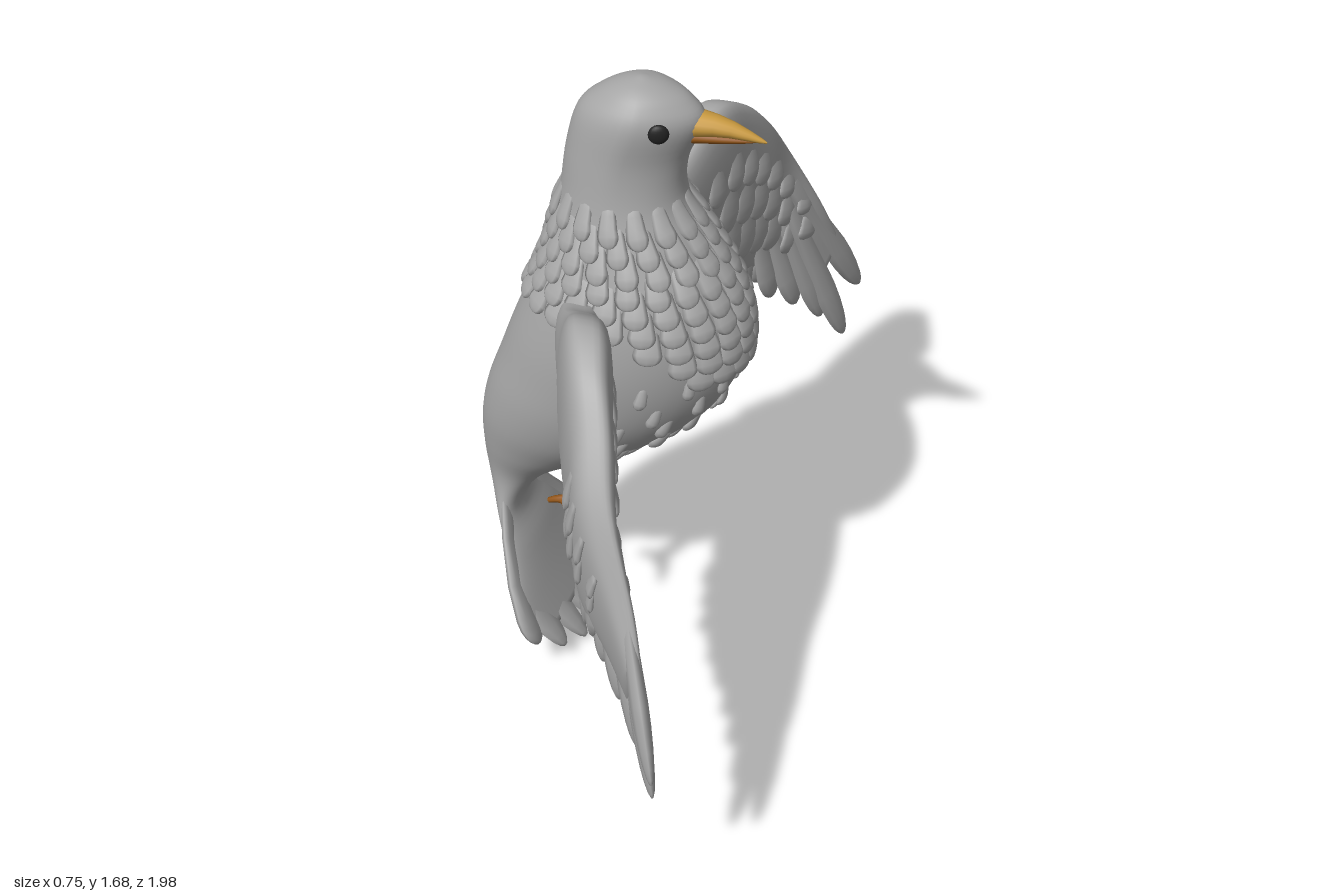
import * as THREE from 'three';
import { mergeGeometries } from 'three/addons/utils/BufferGeometryUtils.js';

const V = (x, y, z) => new THREE.Vector3(x, y, z);
const TAU = Math.PI * 2;

// Smooth interpolation between table rows; u runs from 0 to rows.length - 1
function rowAt(rows, u) {
  const last = rows.length - 1;
  const i = Math.max(0, Math.min(last - 1, Math.floor(u)));
  const t = u - i;
  const [a, b, c, d] = [rows[Math.max(0, i - 1)], rows[i], rows[i + 1], rows[Math.min(last, i + 2)]];
  return b.map((p, k) => p + 0.5 * t * (c[k] - a[k]
    + t * (2 * a[k] - 5 * p + 4 * c[k] - d[k] + t * (3 * (p - c[k]) + d[k] - a[k]))));
}

// Closed skin over rings of points, with both ends capped
function loft(rings) {
  const n = rings[0].length;
  const cap = ring => {
    const c = ring.reduce((s, p) => s.add(p), V(0, 0, 0)).divideScalar(n);
    return ring.map(() => c);
  };
  const all = [cap(rings[0]), ...rings, cap(rings[rings.length - 1])];
  const index = [];
  for (let i = 0; i < all.length - 1; i++) for (let j = 0; j < n; j++) {
    const a = i * n + j, b = i * n + (j + 1) % n;
    index.push(a, b, a + n, b, b + n, a + n);
  }
  const geo = new THREE.BufferGeometry().setFromPoints(all.flat());
  geo.setIndex(index);
  geo.computeVertexNormals();
  return geo;
}

// Elliptical section swept along a curve; normal gives the thin direction
function sweep(points, width, thick, normal, stops, sides = 8) {
  const curve = new THREE.CatmullRomCurve3(points);
  return loft(stops.map(t => {
    const c = curve.getPoint(t), T = curve.getTangent(t);
    const W = normal.clone().cross(T).normalize(), N = T.clone().cross(W);
    return Array.from({ length: sides }, (_, j) => {
      const a = j / sides * TAU;
      return c.clone().addScaledVector(W, width(t) * Math.cos(a)).addScaledVector(N, thick(t) * Math.sin(a));
    });
  }));
}

const FEATHER_STOPS = [0, 0.2, 0.45, 0.65, 0.75, 0.85, 0.92, 0.97, 0.995];
const blade = t => t < 0.65 ? 0.6 + 0.4 * t / 0.65 : Math.sqrt(Math.max(0, 1 - ((t - 0.65) / 0.35) ** 2));
const feather = (points, w, th, normal) =>
  sweep(points, t => w * blade(t), t => th * blade(t), normal, FEATHER_STOPS);

const limb = (points, r0, r1) => {
  const r = t => r0 + (r1 - r0) * t;
  return sweep(points, r, r, V(0.3, 0.2, 0.93), [0, 0.25, 0.5, 0.75, 1]);
};

// Copy a part to the other side, keeping faces outward
function mirrored(geo) {
  const g = geo.clone().scale(1, 1, -1);
  const ix = g.index.array;
  for (let i = 0; i < ix.length; i += 3) [ix[i], ix[i + 1]] = [ix[i + 1], ix[i]];
  g.computeVertexNormals();
  return g;
}

// Body slices: height, back x, front x, half width, taper towards the face
const BODY = [
  [0.1, -0.19, -0.14, 0.2, 0], [0.2, -0.25, -0.19, 0.215, 0], [0.3, -0.3, -0.235, 0.155, 0],
  [0.4, -0.343, -0.275, 0.1, 0], [0.5, -0.37, -0.215, 0.085, 0], [0.6, -0.38, -0.07, 0.125, 0],
  [0.7, -0.377, 0.09, 0.17, 0], [0.8, -0.355, 0.2, 0.2, 0], [0.9, -0.32, 0.265, 0.215, 0],
  [1.0, -0.285, 0.29, 0.22, 0], [1.1, -0.245, 0.285, 0.212, 0], [1.2, -0.205, 0.25, 0.19, 0],
  [1.3, -0.18, 0.195, 0.158, 0], [1.4, -0.16, 0.14, 0.13, 0.05], [1.5, -0.147, 0.14, 0.115, 0.2],
  [1.6, -0.12, 0.178, 0.108, 0.28], [1.65, -0.07, 0.145, 0.083, 0.25], [1.677, -0.02, 0.09, 0.05, 0.1],
  [1.69, 0.025, 0.04, 0.008, 0],
];

function bodyPoint(u, a) {
  const [y, back, front, w, taper] = rowAt(BODY, u);
  const c = Math.cos(a);
  return V((back + front) / 2 + (front - back) / 2 * c, y, -w * Math.sin(a) * (1 - taper * Math.max(0, c)));
}

// Small feather lying on the body with a lifted tip
function bodyScale(y, a, w, len, lift) {
  const u = (y - 0.1) * 10;
  const [, back, front, hw] = rowAt(BODY, u);
  const n = V(Math.cos(a) * 2 / (front - back), 0, -Math.sin(a) / hw).normalize();
  const at = (k, out) => bodyPoint(u - k * len * 10, a).addScaledVector(n, out);
  return feather([at(-0.5, -0.008), at(0.1, lift * 0.5), at(0.55, lift)], w, 0.009, n);
}

function makeRuff() {
  const parts = [];
  for (let r = 0; r < 9; r++) {
    const y = 1.37 - r * 0.044, n = Math.round(16 + r * 1.2);
    const limit = y > 1.13 ? 4 : (y - 0.9) * 6.5;
    for (let i = 0; i < n; i++) {
      const a = ((i + (r % 2) / 2) / n - 0.5) * TAU;
      if (Math.abs(a) < limit) parts.push(bodyScale(y, a, 0.026 + r * 0.0015, 0.085, 0.01 + r * 0.0014));
    }
  }
  return mergeGeometries(parts);
}

function makeBellyTufts() {
  const parts = [];
  for (let r = 0; r < 5; r++) for (let i = -3; i <= 3; i++)
    parts.push(bodyScale(0.97 - r * 0.07 - 0.02 * Math.abs(i % 2), (i + (r % 2) / 2) * 0.4, 0.016, 0.06, 0.009));
  return mergeGeometries(parts);
}

function makeTail() {
  const parts = [];
  [[0, 0.008], [0.09, 0.025], [0.17, 0.055], [0.235, 0.105]].forEach(([z, y]) => {
    for (const s of z ? [1, -1] : [1]) parts.push(feather(
      [V(-0.31, 0.42, s * z * 0.25), V(-0.268, 0.28, s * z * 0.62), V(-0.207, 0.16, s * z * 0.9), V(-0.062 - y, y, s * z)],
      0.056, 0.02, V(1, 0, 0)));
  });
  return mergeGeometries(parts);
}

// Wing stations: leading z, y, x, then trailing z, y, x, then half thickness
const WING = [
  [0.1, 1.16, -0.07, 0.1, 0.82, -0.08, 0.06], [0.22, 1.19, -0.05, 0.22, 0.78, -0.05, 0.06],
  [0.32, 1.255, 0, 0.34, 0.72, -0.01, 0.06], [0.46, 1.345, 0.05, 0.46, 0.72, 0.03, 0.065],
  [0.57, 1.31, 0.09, 0.56, 0.73, 0.07, 0.06], [0.66, 1.22, 0.13, 0.64, 0.73, 0.1, 0.055],
  [0.755, 1.08, 0.17, 0.71, 0.72, 0.14, 0.05], [0.835, 0.89, 0.25, 0.78, 0.68, 0.21, 0.035],
  [0.89, 0.75, 0.3, 0.84, 0.62, 0.27, 0.02],
];

// f runs from the leading (0) to the trailing edge (1); side picks front (1) or back (-1) skin
function wingPoint(u, f, side = 0) {
  const [lz, ly, lx, tz, ty, tx, th] = rowAt(WING, u);
  const v = Math.min(1, f) ** (1 / 1.8);
  const out = th * 2 * Math.sqrt(v * (1 - v)) * side;
  return V(lx + (tx - lx) * f + out, ly + (ty - ly) * f, lz + (tz - lz) * f);
}

function makeWing() {
  const rings = [];
  for (let i = 0; i <= 40; i++) rings.push(Array.from({ length: 28 }, (_, j) => {
    const a = j / 28 * TAU;
    return wingPoint(i / 5, ((1 - Math.sin(a)) / 2) ** 1.8, Math.sign(Math.round(Math.cos(a) * 1e6)));
  }));
  return loft(rings);
}

function makeFlightFeathers() {
  const N = V(1, 0, -0.4), parts = [];
  // trailing row
  for (let i = 0; i < 9; i++) {
    const u = 1.05 + i * 0.62;
    parts.push(feather([wingPoint(u, 0.5), wingPoint(u, 0.85), wingPoint(u + 0.05, 1.12 + 0.03 * (i % 2))], 0.046, 0.017, N));
  }
  // long outer row: root, then tip
  [[0.75, 0.98, 0.21, 0.985, 0.535, 0.365], [0.75, 0.9, 0.21, 0.91, 0.41, 0.345], [0.74, 0.88, 0.19, 0.85, 0.5, 0.29],
    [0.71, 0.86, 0.16, 0.79, 0.57, 0.23], [0.67, 0.86, 0.14, 0.735, 0.62, 0.175]].forEach(([z, y, x, tz, ty, tx]) => {
    const a = V(x, y, z), b = V(tx, ty, tz);
    parts.push(feather([a, a.clone().lerp(b, 0.5), b], 0.04, 0.02, N));
  });
  return mergeGeometries(parts);
}

function makeCoverts() {
  const N = V(1, 0, -0.4), parts = [];
  // overlapping rows on the front skin: count, start, end, half width
  [[8, 0.5, 0.82, 0.045], [8, 0.32, 0.6, 0.042], [9, 0.18, 0.4, 0.036]].forEach(([n, f0, f1, w], r) => {
    for (let i = 0; i < n; i++) {
      const u = 1.5 + (i + (r % 2) / 2) * 5.6 / n;
      const at = (f, out) => wingPoint(u, f, 0.95).addScaledVector(N, out);
      parts.push(feather([at(f0, -0.008), at((f0 + f1) / 2, 0.002), at(f1, 0.008)], w, 0.009, N));
    }
  });
  // small tufts at the wrist on the back skin
  for (let i = 0; i < 8; i++) {
    const u = 5.4 + (i % 4) * 0.4, f = 0.12 + 0.2 * Math.floor(i / 4);
    parts.push(feather([wingPoint(u, f, -0.9), wingPoint(u, f + 0.12, -1), wingPoint(u, f + 0.25, -1.15)], 0.026, 0.009, N));
  }
  return mergeGeometries(parts);
}

function makeLeg() {
  const foot = V(-0.125, 0.485, 0.105);
  const toe = (x, y, z) => limb([foot, V((x + foot.x) / 2 + 0.008, (y + foot.y) / 2 + 0.012, (z + foot.z) / 2), V(x, y, z)], 0.017, 0.007);
  return mergeGeometries([
    limb([V(-0.11, 0.64, 0.095), V(-0.105, 0.56, 0.095), foot], 0.024, 0.019),
    toe(-0.075, 0.415, 0.115), toe(-0.08, 0.44, 0.165), toe(-0.085, 0.43, 0.05), toe(-0.18, 0.48, 0.1),
  ]);
}

export function createModel() {
  const bird = new THREE.Group();
  bird.name = 'bird';
  const mat = (name, color) => Object.assign(new THREE.MeshStandardMaterial({ color }), { name });
  const plumage = mat('plumage grey', 0xa5a5a5), gold = mat('beak gold', 0xc99a40);
  const brown = mat('leg brown', 0x935618), black = mat('eye black', 0x222222);
  const add = (name, geo, material) => {
    const mesh = new THREE.Mesh(geo, material);
    mesh.name = name;
    bird.add(mesh);
  };
  const addPair = (name, geo, material) => {
    add('left' + name, mirrored(geo), material);
    add('right' + name, geo, material);
  };

  const rings = [];
  for (let i = 0; i <= 90; i++)
    rings.push(Array.from({ length: 44 }, (_, j) => bodyPoint(i / 5, j / 44 * TAU)));
  add('body', loft(rings), plumage);
  add('neckFeathers', makeRuff(), plumage);
  add('bellyFeathers', makeBellyTufts(), plumage);
  add('tailFeathers', makeTail(), plumage);

  addPair('Wing', makeWing(), plumage);
  addPair('FlightFeathers', makeFlightFeathers(), plumage);
  addPair('WingCoverts', makeCoverts(), plumage);
  addPair('Leg', makeLeg(), brown);

  // Beak halves
  const stops = [0, 0.2, 0.4, 0.6, 0.8, 0.93, 1];
  const fade = r => t => r * (1 - t) ** 0.8 + 0.002;
  add('upperBeak', sweep([V(0.13, 1.592, 0), V(0.22, 1.592, 0), V(0.32, 1.57, 0)], fade(0.042), fade(0.034), V(0, 1, 0), stops, 14), gold);
  add('lowerBeak', sweep([V(0.13, 1.565, 0), V(0.22, 1.567, 0), V(0.295, 1.568, 0)], fade(0.034), fade(0.02), V(0, 1, 0), stops, 14), brown);

  // Eyes set into the sides of the head
  const eye = new THREE.SphereGeometry(0.024, 18, 12).scale(1, 1, 0.5).rotateY(0.35).translate(0.095, 1.6, 0.086);
  addPair('Eye', eye, black);
  return bird;
}
